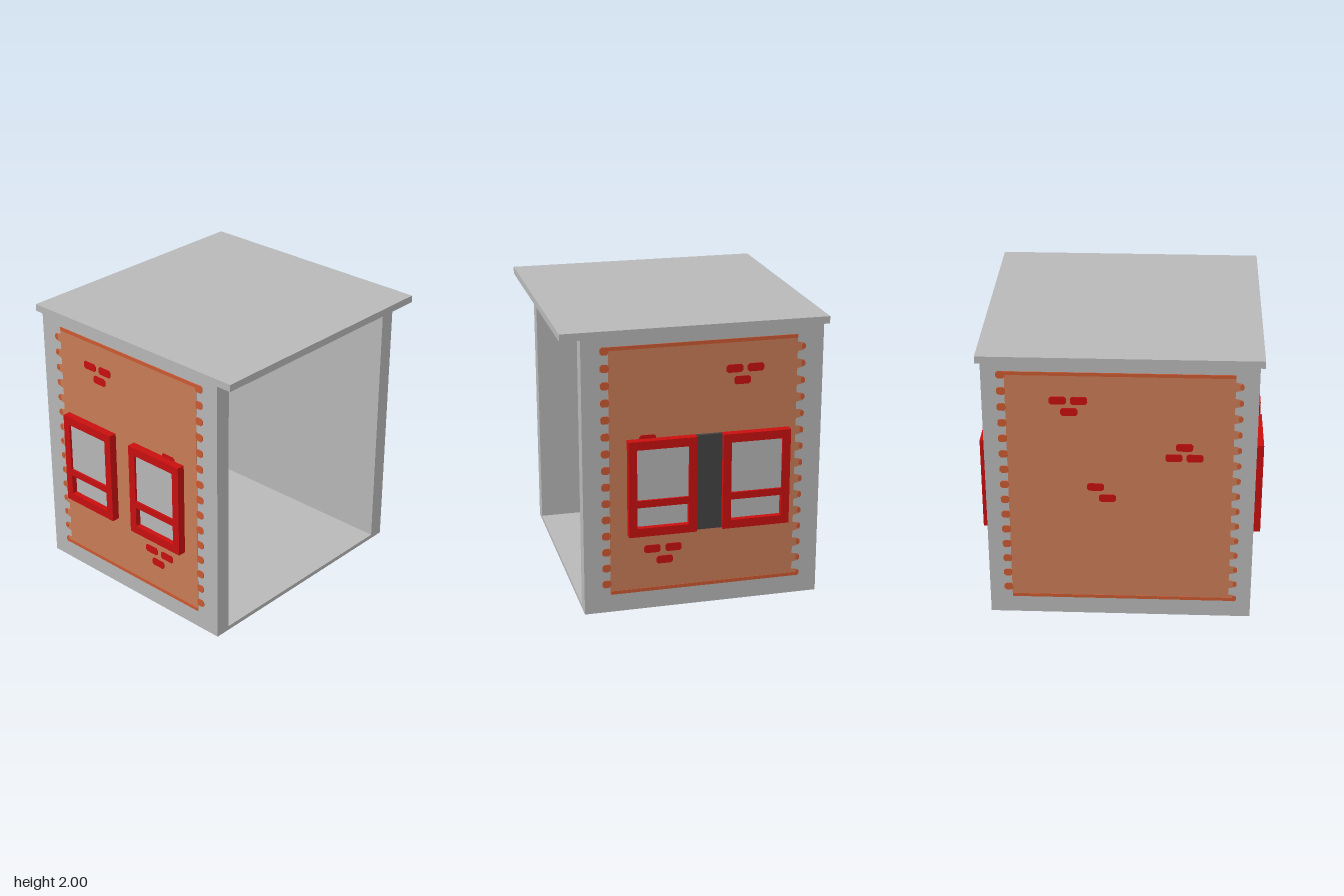
import * as THREE from 'three';

const mat = (name, color, extra = {}) => {
  const m = new THREE.MeshStandardMaterial({ color, ...extra });
  m.name = name;
  return m;
};

export function createModel() {
  const plaster = mat('grey plaster', 0xb8b8b8);
  const render = mat('terracotta render', 0xca7d57);
  const edging = mat('orange edging', 0xcc5a32);
  const red = mat('red paint', 0xc90f0f);
  const dark = mat('dark grey', 0x444444);

  const model = new THREE.Group();
  model.name = 'house';

  const add = (parent, name, geometry, material) => {
    const mesh = new THREE.Mesh(geometry, material);
    mesh.name = name;
    parent.add(mesh);
    return mesh;
  };
  // box given by its limits on each axis
  const box = (parent, name, material, x0, x1, y0, y1, z0, z1) => {
    const m = add(parent, name, new THREE.BoxGeometry(x1 - x0, y1 - y0, z1 - z0), material);
    m.position.set((x0 + x1) / 2, (y0 + y1) / 2, (z0 + z1) / 2);
    return m;
  };
  const extrude = (shape, depth) => new THREE.ExtrudeGeometry(shape, { depth, bevelEnabled: false });
  const shapeOf = pts => new THREE.Shape(pts.map(p => new THREE.Vector2(...p)));
  const rect = (u0, u1, v0, v1) => [[u0, v0], [u1, v0], [u1, v1], [u0, v1]];
  // rectangle with clipped corners
  const clipped = (u0, u1, v0, v1, c = 0.013) => [
    [u0 + c, v0], [u1 - c, v0], [u1, v0 + c], [u1, v1 - c],
    [u1 - c, v1], [u0 + c, v1], [u0, v1 - c], [u0, v0 + c]];

  // shell, open at the front
  box(model, 'floor', plaster, -0.8, 0.8, 0, 0.03, -0.77, 0.77);
  box(model, 'backWall', plaster, -0.91, 0.91, 0, 1.95, -0.88, -0.77);
  for (const s of [-1, 1]) {
    const x = s * 0.855;
    box(model, 'sideWall', plaster, x - 0.055, x + 0.055, 0, 1.95, -0.77, 0.77);
    box(model, 'ceilingBeam', plaster, s * 0.5 - 0.088, s * 0.5 + 0.088, 1.91, 1.95, -0.77, 0.77);
  }
  box(model, 'roof', plaster, -0.94, 0.94, 1.95, 2, -0.91, 0.91);

  // terracotta panel with toothed edges; u runs along the wall, v is height,
  // s = -1 mirrors it along u
  const rendering = (parent, uL, uR, bricks, s) => {
    const plate = (name, pts, depth, material) =>
      add(parent, name, extrude(shapeOf(pts.map(([u, v]) => [s * u, v])), depth), material);
    const inL = uL + 0.055, inR = uR - 0.055, step = 0.1178, h = 0.027;
    const outline = [[inL, 0.14], [inR, 0.14]];
    for (let i = 0; i < 15; i++) {
      const v = 0.15 + i * step;
      if (i > 0) outline.push([inR, v - h - 0.006]);
      outline.push([uR - 0.02, v - h], [uR - 0.02, v + h], [inR, v + h + 0.006]);
      plate('rightToothCap', clipped(uR - 0.028, uR, v - h + 0.003, v + h - 0.003), 0.005, edging);
      const w = 0.21 + i * step;
      plate('leftTooth', clipped(uL, inL + 0.005, w - h, w + h), 0.005, edging);
    }
    outline.push([inR, 1.875], [inL, 1.875]);
    plate('renderPanel', outline, 0.003, render);
    plate('topEdging', clipped(uL + 0.01, inR, 1.86, 1.885, 0.006), 0.006, edging);
    plate('bottomEdging', clipped(inL, uR - 0.01, 0.13, 0.155, 0.006), 0.006, edging);
    for (const [u, v] of bricks)
      plate('exposedBrick', clipped(u - 0.057, u + 0.057, v - 0.028, v + 0.028), 0.008, red);
  };

  // window: red frame with two openings, standing proud of the wall
  const frameWindow = (parent, u0, s) => {
    const W = 0.47, win = new THREE.Group();
    win.name = 'window';
    const openings = [[0.82, 1.18, 0.045], [0.62, 0.77, 0.02]];
    const frame = shapeOf(rect(0, W, 0.56, 1.24));
    for (const [v0, v1, out] of openings) {
      frame.holes.push(new THREE.Path(rect(0.057, W - 0.057, v0, v1).reverse().map(p => new THREE.Vector2(...p))));
      box(win, 'windowPane', plaster, 0.057, W - 0.057, v0, v1, 0, out);
    }
    add(win, 'windowFrame', extrude(frame, 0.06), red);
    win.position.x = s > 0 ? u0 : -u0 - W;
    parent.add(win);
  };

  // dressed side walls
  const sideBricks = [[0.265, 1.68], [0.41, 1.68], [0.32, 1.597],
    [-0.298, 0.442], [-0.15, 0.442], [-0.212, 0.356], [-0.328, 1.237]];
  for (const s of [1, -1]) {
    const side = new THREE.Group();
    side.name = s > 0 ? 'leftWallDressing' : 'rightWallDressing';
    rendering(side, -0.645, 0.755, sideBricks, s);
    frameWindow(side, -0.47, s);
    frameWindow(side, 0.18, s);
    if (s > 0) box(side, 'darkPanel', dark, 0, 0.18, 0.56, 1.24, 0, 0.028);
    side.rotation.y = s * Math.PI / 2;
    side.position.x = s * 0.91;
    model.add(side);
  }

  // dressed back wall
  const back = new THREE.Group();
  back.name = 'backWallDressing';
  rendering(back, -0.81, 0.81, [[-0.41, 1.68], [-0.27, 1.68], [-0.335, 1.597],
    [-0.165, 1.03], [-0.085, 0.945], [0.43, 1.345], [0.36, 1.265], [0.5, 1.265]], 1);
  back.rotation.y = Math.PI;
  back.position.z = -0.88;
  model.add(back);

  return model;
}
